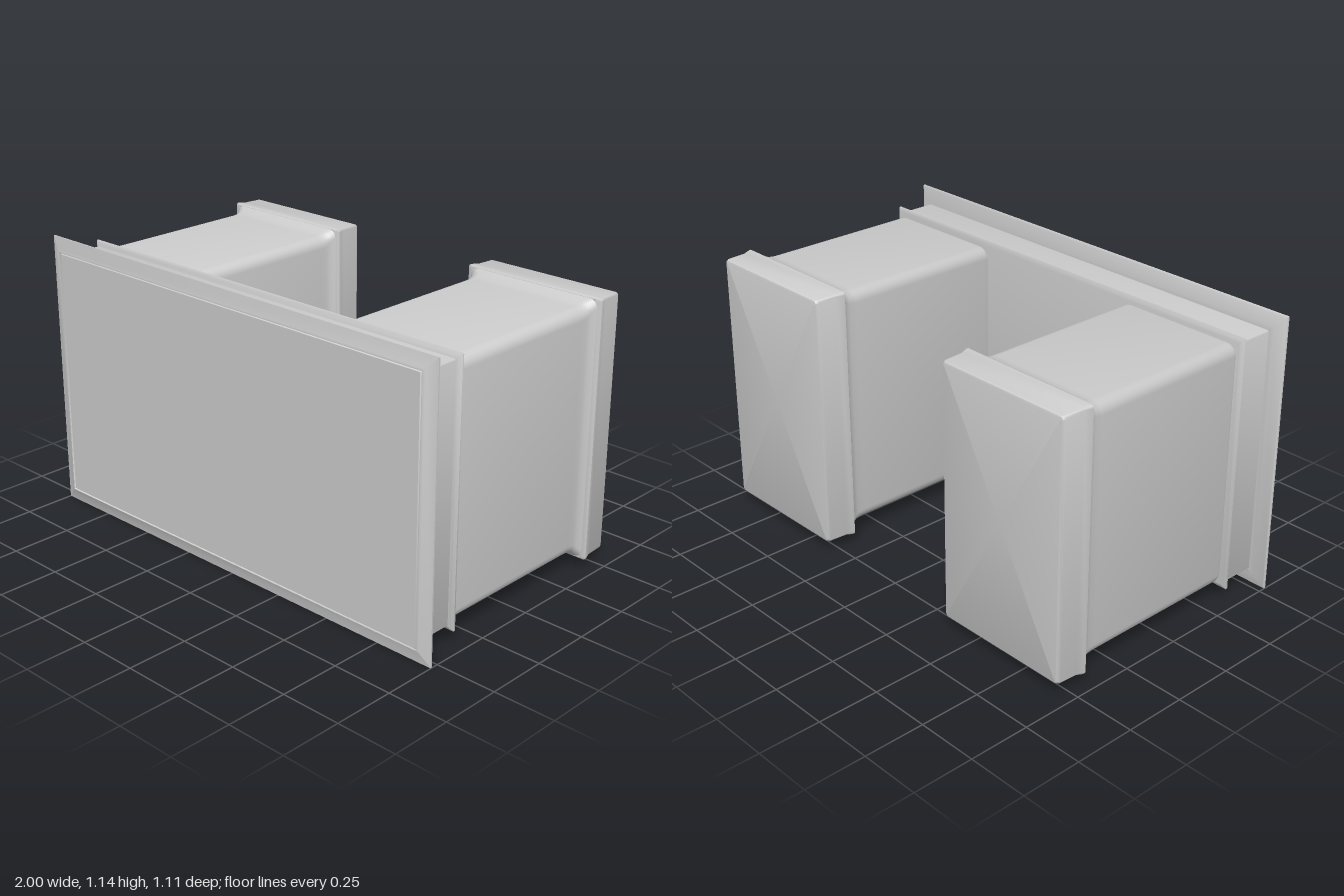
import * as THREE from 'three';
import { toCreasedNormals } from 'three/addons/utils/BufferGeometryUtils.js';

const material = new THREE.MeshStandardMaterial({ color: 0xcccccc });

function part(name, geometry, parent) {
  const mesh = new THREE.Mesh(geometry, material);
  mesh.name = name;
  parent.add(mesh);
  return mesh;
}

// Counter-clockwise outline of a rounded rectangle
function ring(x0, x1, y0, y1, r, steps = 5) {
  const points = [];
  const corners = [[x1 - r, y0 + r], [x1 - r, y1 - r], [x0 + r, y1 - r], [x0 + r, y0 + r]];
  corners.forEach(([cx, cy], i) => {
    for (let s = 0; s <= steps; s++) {
      const a = (i - 1 + s / steps) * Math.PI / 2;
      points.push([cx + r * Math.cos(a), cy + r * Math.sin(a)]);
    }
  });
  return points;
}

// Closed loft through sections [z, x0, x1, y0, y1, cornerRadius], ordered back to front
function loft(sections) {
  const positions = [], index = [];
  let n = 0;
  for (const [z, ...box] of sections) {
    const points = ring(...box);
    n = points.length;
    points.forEach(([x, y]) => positions.push(x, y, z));
  }
  const last = sections.length - 1;
  for (let s = 0; s < last; s++) {
    for (let i = 0; i < n; i++) {
      const a = s * n + i, b = s * n + (i + 1) % n;
      index.push(a, b, b + n, a, b + n, a + n);
    }
  }
  // End caps
  [0, last].forEach((s) => {
    const [z, x0, x1, y0, y1] = sections[s];
    const centre = positions.length / 3;
    positions.push((x0 + x1) / 2, (y0 + y1) / 2, z);
    for (let i = 0; i < n; i++) {
      const a = s * n + i, b = s * n + (i + 1) % n;
      if (s === 0) index.push(centre, b, a);
      else index.push(centre, a, b);
    }
  });
  const geometry = new THREE.BufferGeometry();
  geometry.setAttribute('position', new THREE.Float32BufferAttribute(positions, 3));
  geometry.setIndex(index);
  return toCreasedNormals(geometry, 0.6);
}

// Section symmetric in x
const sym = (z, hx, y0, y1, r) => [z, -hx, hx, y0, y1, r];

// Hanging knob: mounting plate, thin stem, flared head
const knobGeometry = toCreasedNormals(new THREE.LatheGeometry([
  [0, 0.03], [0.013, 0.03], [0.016, 0.034], [0.013, 0.038], [0.007, 0.042],
  [0.006, 0.055], [0.01, 0.062], [0.022, 0.065], [0.025, 0.073],
].map(([x, y]) => new THREE.Vector2(x, y)), 16), 0.6);

function knob(parent, x, z) {
  part('knob', knobGeometry, parent).position.set(x, 0, z);
}

// Flush panel on an underside
function underPanel(name, parent, width, depth, x, z) {
  part(name, new THREE.BoxGeometry(width, 0.008, depth), parent).position.set(x, 0.071, z);
}

// Section of the pedestal, grown by gx and gy around its basic outline
const pedestalSection = (z, gx, gy, r) =>
  [z, 0.375 - gx, 0.93 + gx, 0.07 - gy, 1.07 + gy, r];

function createPedestal(side) {
  const group = new THREE.Group();
  group.name = side > 0 ? 'leftPedestal' : 'rightPedestal';
  const shift = side > 0 ? 0 : -1.305;
  const at = (sections) => sections.map(([z, x0, x1, ...rest]) => [z, x0 + shift, x1 + shift, ...rest]);

  // Rounded body, flaring where it meets the foot
  part('pedestalBody', loft(at([
    pedestalSection(-0.43, 0.025, 0.027, 0.03),
    pedestalSection(-0.415, 0.012, 0.022, 0.035),
    pedestalSection(-0.4, 0.002, 0.013, 0.04),
    pedestalSection(-0.38, 0, 0.004, 0.045),
    pedestalSection(-0.35, 0, 0, 0.045),
    pedestalSection(0.325, 0, 0, 0.045),
    pedestalSection(0.337, -0.004, -0.004, 0.042),
    pedestalSection(0.342, -0.014, -0.014, 0.035),
  ])), group);

  // Foot block with a slightly wider lip
  part('foot', loft(at([
    pedestalSection(-0.553, 0.008, 0.012, 0.01),
    pedestalSection(-0.55, 0.015, 0.02, 0.012),
    pedestalSection(-0.54, 0.02, 0.024, 0.012),
    pedestalSection(-0.46, 0.023, 0.026, 0.012),
    pedestalSection(-0.432, 0.032, 0.03, 0.012),
    pedestalSection(-0.425, 0.032, 0.03, 0.012),
    pedestalSection(-0.418, 0.02, 0.024, 0.012),
  ])), group);

  // Underside drawer front with a row of knobs
  const x = side * 0.6525;
  underPanel('drawerPanel', group, 0.44, 0.63, x, -0.035);
  for (let i = 0; i < 4; i++) knob(group, x, 0.235 - i * 0.18);
  return group;
}

export function createModel() {
  const model = new THREE.Group();
  model.name = 'desk';

  // Top slab with bevelled rim and a fine groove around its inset
  part('topSlab', loft([
    sym(0.507, 0.94, 0.06, 1.085, 0.002),
    sym(0.51, 0.955, 0.05, 1.095, 0.002),
    sym(0.525, 0.995, 0.007, 1.14, 0.002),
    sym(0.529, 1, 0, 1.145, 0.002),
    sym(0.535, 1, 0, 1.145, 0.002),
    sym(0.549, 0.955, 0.048, 1.098, 0.002),
    sym(0.553, 0.948, 0.053, 1.092, 0.002),
  ].concat([
    sym(0.553, 0.945, 0.056, 1.089, 0.002),
    sym(0.548, 0.943, 0.058, 1.087, 0.002),
    sym(0.548, 0.94, 0.06, 1.085, 0.002),
    sym(0.552, 0.937, 0.063, 1.082, 0.002),
  ])), model);

  // Apron box behind the slab
  part('apron', loft([
    sym(0.365, 0.93, 0.075, 1.073, 0.006),
    sym(0.37, 0.935, 0.07, 1.078, 0.008),
    sym(0.51, 0.935, 0.07, 1.078, 0.008),
  ]), model);

  // Thin moulding between apron and pedestals
  part('moulding', loft([
    sym(0.341, 0.935, 0.07, 1.078, 0.004),
    sym(0.345, 0.945, 0.06, 1.087, 0.004),
    sym(0.351, 0.954, 0.051, 1.098, 0.004),
    sym(0.357, 0.954, 0.051, 1.098, 0.004),
    sym(0.364, 0.945, 0.06, 1.087, 0.004),
    sym(0.37, 0.932, 0.072, 1.076, 0.004),
  ]), model);

  // Three apron drawers, each with a knob
  for (const i of [-1, 0, 1]) {
    underPanel('apronDrawer', model, 0.6, 0.11, i * 0.62, 0.44);
    knob(model, i * 0.64, 0.447);
  }

  for (const side of [-1, 1]) model.add(createPedestal(side));
  return model;
}
